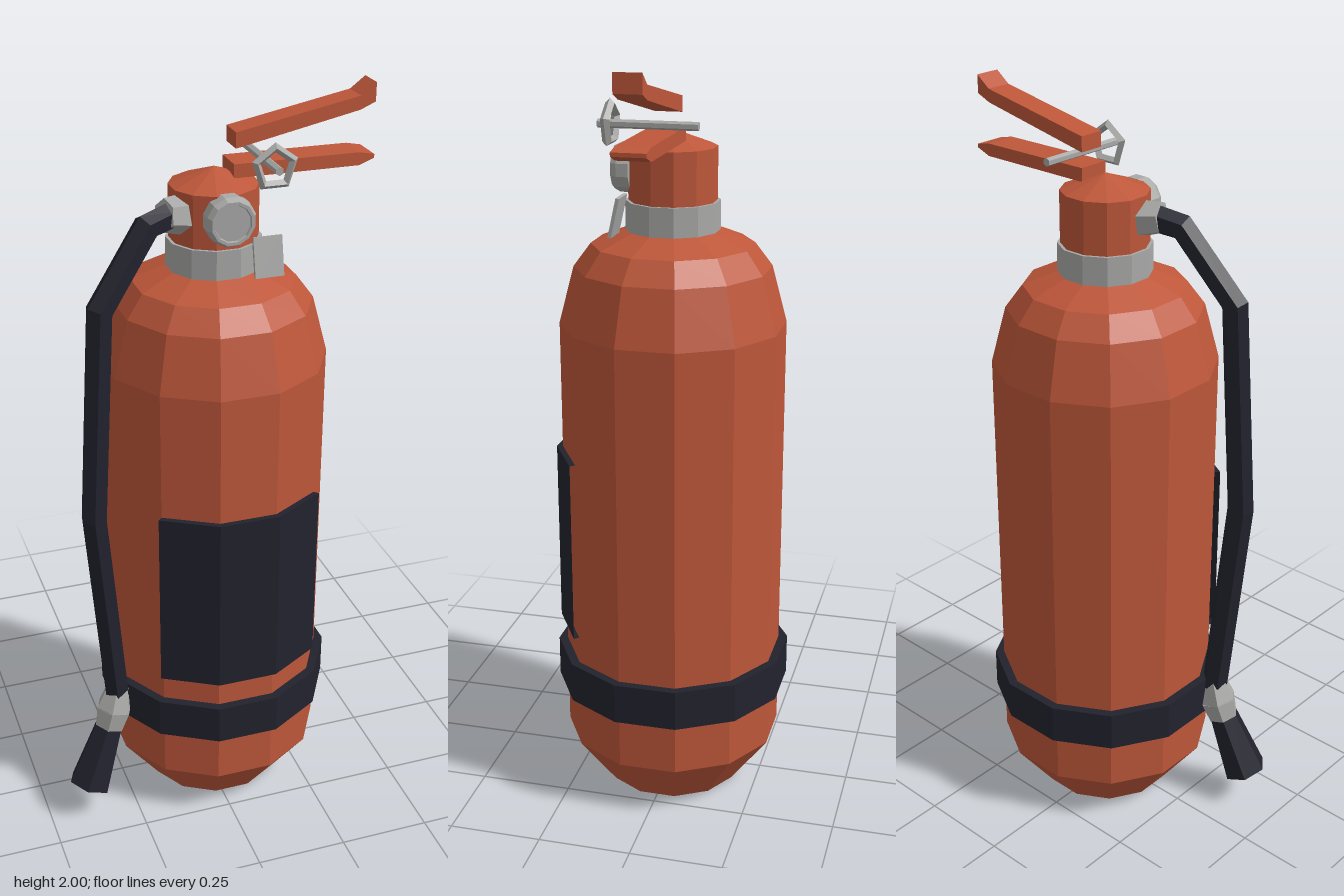
import * as THREE from 'three';

const CX = 0.03; // axis of the bottle

export function createModel() {
  const root = new THREE.Group();
  root.name = 'fireExtinguisher';

  const red = new THREE.MeshStandardMaterial({ name: 'red paint', color: 0xbe573a });
  const black = new THREE.MeshStandardMaterial({ name: 'black rubber', color: 0x22222e, side: THREE.DoubleSide });
  const steel = new THREE.MeshStandardMaterial({ name: 'grey metal', color: 0xa9a9a8 });

  // Splits the faces so every facet is shaded flat
  function add(name, geometry, material) {
    const geo = geometry.index ? geometry.toNonIndexed() : geometry;
    geo.computeVertexNormals();
    const mesh = new THREE.Mesh(geo, material);
    mesh.name = name;
    root.add(mesh);
    return mesh;
  }

  // Twelve-sided turned part, flat side to the front
  function turned(name, profile, material, start = Math.PI / 12, sides = 12) {
    const pts = profile.map(([r, y]) => new THREE.Vector2(r, y));
    const geo = new THREE.LatheGeometry(pts, sides, start, sides * Math.PI / 6);
    const mesh = add(name, geo, material);
    mesh.position.x = CX;
    return mesh;
  }

  // Tapered cylinder between two points
  function rod(name, a, b, ra, rb, sides, material) {
    const dir = b.clone().sub(a);
    const mesh = add(name, new THREE.CylinderGeometry(rb, ra, dir.length(), sides), material);
    mesh.position.copy(a).add(b).multiplyScalar(0.5);
    mesh.quaternion.setFromUnitVectors(new THREE.Vector3(0, 1, 0), dir.normalize());
    return mesh;
  }

  // Bottle, with strap and label wrapped around it
  turned('bottle', [[0, 0], [0.19, 0], [0.297, 0.145], [0.297, 1.32], [0.257, 1.47],
    [0.212, 1.53], [0.12, 1.567], [0, 1.567]], red);
  const band = (r0, r1, y0, y1) => [[r0, y0], [r1, y0], [r1, y1], [r0, y1], [r0, y0]];
  turned('strap', band(0.29, 0.321, 0.29, 0.4), black);
  turned('label', band(0.296, 0.313, 0.475, 0.975), black, -Math.PI / 4, 3);

  // Collar and valve head
  turned('collar', [[0, 1.565], [0.122, 1.565], [0.122, 1.642], [0, 1.642]], steel);
  turned('valveHead', [[0, 1.64], [0.114, 1.64], [0.114, 1.778], [0, 1.82]], red);

  // Pressure gauge with a sunken dial
  const gauge = turned('gauge', [[0, 0], [0.064, 0], [0.064, 0.032], [0.056, 0.048], [0.048, 0.048],
    [0.046, 0.042], [0, 0.042]], steel);
  gauge.rotation.x = Math.PI / 2;
  gauge.position.set(CX, 1.72, 0.102);

  // Levers
  function lever(name, outline, width) {
    const shape = new THREE.Shape(outline.map(([x, y]) => new THREE.Vector2(x, y)));
    const geo = new THREE.ExtrudeGeometry(shape, { depth: width, bevelEnabled: false });
    geo.translate(0, 0, -width / 2);
    add(name, geo, red);
  }
  lever('upperLever', [[0.075, 1.868], [0.4, 1.935], [0.44, 1.952], [0.44, 2], [0.4, 1.97], [0.075, 1.908]], 0.07);
  lever('lowerLever', [[0.068, 1.797], [0.4, 1.797], [0.44, 1.812], [0.44, 1.822], [0.4, 1.83], [0.068, 1.832]], 0.086);

  // Safety pin, pull ring and hanging tag
  rod('safetyPin', new THREE.Vector3(0.14, 1.843, -0.093), new THREE.Vector3(0.14, 1.843, 0.163), 0.011, 0.011, 6, steel);
  const ring = add('pullRing', new THREE.TorusGeometry(0.05, 0.012, 4, 5), steel);
  ring.rotation.z = Math.PI / 2;
  ring.position.set(0.14, 1.843, 0.131);
  const tag = add('tag', new THREE.BoxGeometry(0.076, 0.102, 0.009), steel);
  tag.rotation.x = -0.22;
  tag.position.set(0.133, 1.614, 0.118);

  // Hose parts lie in one upright plane, d being the distance from the axis
  const at = (d, y) => new THREE.Vector3(CX - 0.945 * d, y, 0.327 * d);
  const path = [at(0.125, 1.722), at(0.206, 1.707), at(0.35, 1.525), at(0.388, 0.955), at(0.335, 0.37)];
  const n = path.length - 1;
  const curve = new THREE.Curve();
  curve.getPointAt = (t) => path[Math.round(t * n)].clone();
  curve.getTangentAt = (t) => {
    const i = Math.round(t * n);
    const step = (k) => path[k + 1].clone().sub(path[k]).normalize();
    return step(Math.max(i - 1, 0)).add(step(Math.min(i, n - 1))).normalize();
  };
  add('hose', new THREE.TubeGeometry(curve, n, 0.036, 6), black);
  rod('hoseFitting', at(0.09, 1.716), at(0.152, 1.725), 0.052, 0.042, 6, steel);
  rod('nozzleFitting', at(0.33, 0.395), at(0.347, 0.325), 0.032, 0.052, 6, steel);
  rod('nozzleNeck', at(0.347, 0.325), at(0.365, 0.27), 0.052, 0.043, 6, steel);
  rod('nozzleHorn', at(0.36, 0.285), at(0.438, 0.098), 0.04, 0.062, 6, black);

  return root;
}
